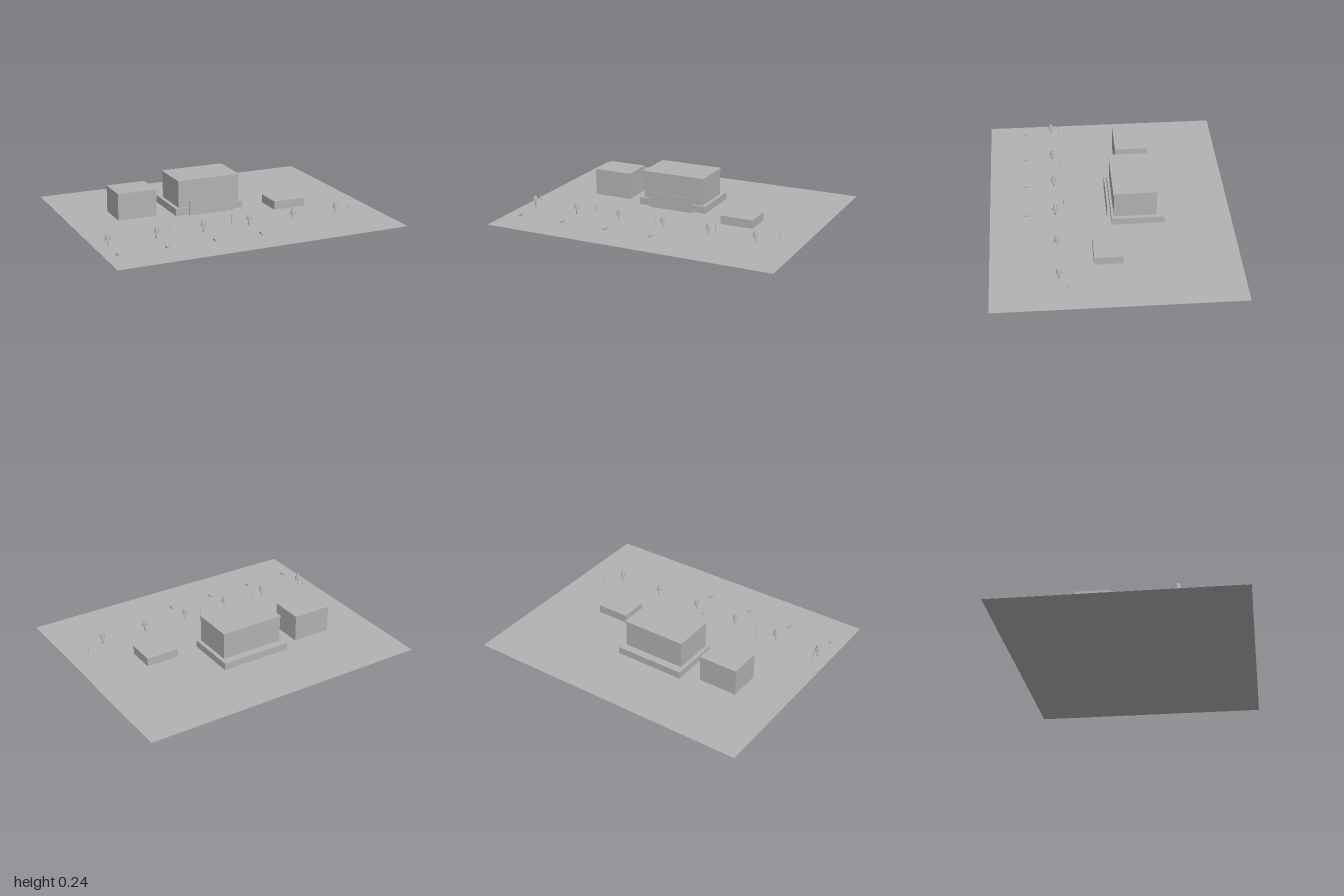
import * as THREE from 'three';

const grey = new THREE.MeshStandardMaterial({ color: 0xb2b2b2 });
grey.name = 'plain grey';

function mesh(name, geometry, x = 0, y = 0, z = 0) {
  const m = new THREE.Mesh(geometry, grey);
  m.name = name;
  m.position.set(x, y, z);
  return m;
}

// Box given by its extents along each axis
function block(name, x0, x1, y0, y1, z0, z1) {
  return mesh(name, new THREE.BoxGeometry(x1 - x0, y1 - y0, z1 - z0),
    (x0 + x1) / 2, (y0 + y1) / 2, (z0 + z1) / 2);
}

function group(name, x, z, parts) {
  const g = new THREE.Group();
  g.name = name;
  g.position.set(x, 0, z);
  g.add(...parts);
  return g;
}

// Six-sided faceted crown on a thin trunk
function tree(x, z) {
  const profile = [[0, 0.036], [0.02, 0.041], [0.016, 0.063], [0.009, 0.082], [0, 0.086]]
    .map(([r, y]) => new THREE.Vector2(r, y));
  const crown = new THREE.LatheGeometry(profile, 6, Math.PI / 6).toNonIndexed();
  crown.computeVertexNormals();
  return group('tree', x, z, [
    mesh('trunk', new THREE.CylinderGeometry(0.003, 0.004, 0.04, 6), 0, 0.02, 0),
    mesh('crown', crown),
  ]);
}

// Slim pole with a short arm
function lamp(x, z) {
  return group('streetLamp', x, z, [
    mesh('pole', new THREE.CylinderGeometry(0.001, 0.0014, 0.07, 6), 0, 0.035, 0),
    block('lampArm', -0.002, 0.013, 0.068, 0.071, -0.0015, 0.0015),
  ]);
}

function car(x, z) {
  return group('car', x, z, [
    block('carBody', -0.009, 0.009, 0.002, 0.009, -0.021, 0.021),
    block('carCabin', -0.008, 0.008, 0.009, 0.014, -0.012, 0.010),
  ]);
}

export function createModel() {
  const model = new THREE.Group();
  model.name = 'buildingSite';

  // Ground slab
  model.add(block('ground', -1, 1, 0, 0.002, -0.81, 0.81));

  // Main building: podium, hall, roof cap and freestanding front panel
  model.add(
    block('podium', -0.296, 0.197, 0, 0.051, -0.36, -0.002),
    block('mainHall', -0.27, 0.17, 0.05, 0.23, -0.306, -0.018),
    block('roofCap', -0.275, 0.175, 0.229, 0.24, -0.31, -0.014),
    block('frontPanel', -0.21, 0.112, 0, 0.105, 0.02, 0.024),
  );

  // Side buildings
  model.add(
    block('tallAnnex', -0.68, -0.41, 0, 0.185, -0.295, -0.07),
    block('lowAnnex', 0.369, 0.597, 0, 0.06, -0.05, 0.14),
  );

  // Street rows
  for (let i = 0; i < 6; i++) model.add(tree(-0.907 + i * 0.3235, 0.37));
  for (let i = 0; i < 5; i++) model.add(lamp(-0.906 + i * 0.4378, 0.311));
  for (let i = 0; i < 4; i++) model.add(car(-0.907 + i * 0.3235, 0.56));

  return model;
}
